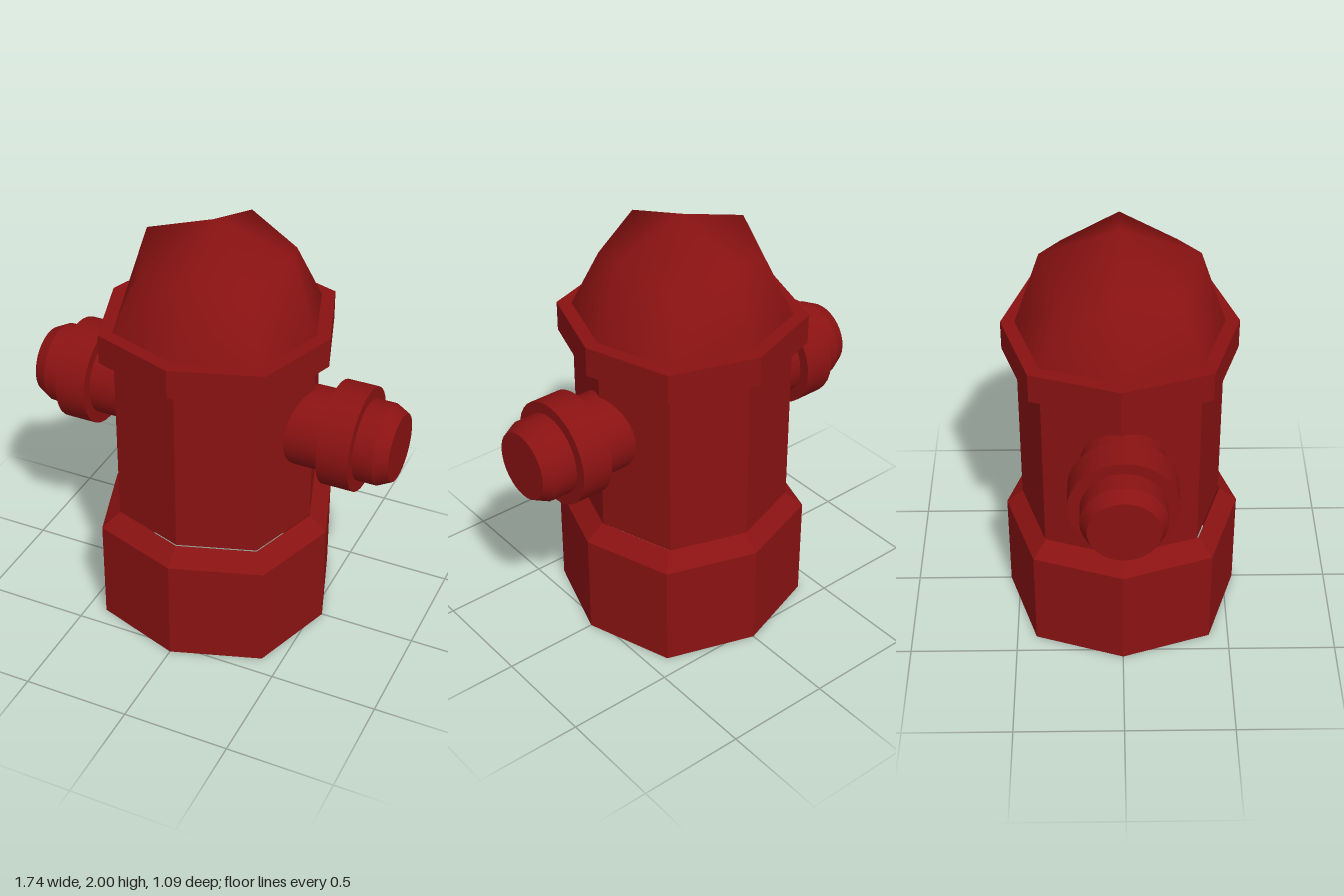
import * as THREE from 'three';

const red = { color: 0x8a1212 };
const flat = new THREE.MeshStandardMaterial({ ...red, flatShading: true, side: THREE.DoubleSide });
const smooth = new THREE.MeshStandardMaterial({ ...red, side: THREE.DoubleSide });

// Eight-cornered ring: four corners on the axes, four on the diagonals (diag, diag).
function ring(axis, y, diag = axis * 0.75, yDiag = y) {
  const points = [];
  for (let i = 0; i < 8; i++) {
    const a = (i * Math.PI) / 4;
    const odd = i % 2 === 1;
    const r = odd ? diag * Math.SQRT2 : axis;
    points.push(new THREE.Vector3(r * Math.cos(a), odd ? yDiag : y, r * Math.sin(a)));
  }
  return points;
}

// Skin a stack of rings from bottom to top, with an optional apex.
function loft(rings, apexY) {
  const points = rings.flat();
  const index = [];
  for (let k = 0; k < rings.length - 1; k++) {
    for (let i = 0; i < 8; i++) {
      const a = k * 8 + i, b = k * 8 + ((i + 1) % 8);
      index.push(b, a, a + 8, b, a + 8, b + 8);
    }
  }
  if (apexY !== undefined) {
    const last = (rings.length - 1) * 8;
    points.push(new THREE.Vector3(0, apexY, 0));
    for (let i = 0; i < 8; i++) index.push(last + ((i + 1) % 8), last + i, points.length - 1);
  }
  const geometry = new THREE.BufferGeometry().setFromPoints(points);
  geometry.setIndex(index);
  geometry.computeVertexNormals();
  return geometry;
}

function part(name, geometry, material, parent) {
  const mesh = new THREE.Mesh(geometry, material);
  mesh.name = name;
  parent.add(mesh);
  return mesh;
}

// Side outlet along +x, made of coaxial drums: [name, x0, x1, r0, r1].
function outlet(name) {
  const group = new THREE.Group();
  group.name = name;
  const drums = [
    ['outletPipe', 0.34, 0.57, 0.187, 0.187],
    ['outletCollar', 0.57, 0.718, 0.24, 0.24],
    ['outletNeck', 0.718, 0.81, 0.187, 0.187],
    ['outletTip', 0.81, 0.872, 0.187, 0.156],
  ];
  for (const [label, x0, x1, r0, r1] of drums) {
    const geometry = new THREE.CylinderGeometry(r1, r0, x1 - x0, 32);
    geometry.rotateZ(-Math.PI / 2);
    geometry.translate((x0 + x1) / 2, 0, 0);
    part(label, geometry, smooth, group);
  }
  group.position.y = 1.075;
  return group;
}

export function createModel() {
  const hydrant = new THREE.Group();
  hydrant.name = 'hydrant';

  // Hollow foot, open underneath, with a sloped shoulder
  part('base', loft([ring(0.546, 0), ring(0.546, 0.5), ring(0.463, 0.57)]), flat, hydrant);

  // Barrel and flange sit a hair off centre
  const upper = new THREE.Group();
  upper.name = 'upperBody';
  upper.position.set(-0.003, 0, -0.007);
  hydrant.add(upper);
  part('barrel', loft([ring(0.463, 0.57), ring(0.463, 1.397)]), flat, upper);
  part('flange', loft([
    ring(0.463, 1.397), ring(0.526, 1.397), ring(0.526, 1.537), ring(0.463, 1.537),
  ]), flat, upper);

  // Smooth-shaded dome with dropped diagonal corners
  const r = 0.463, y = 1.537;
  part('dome', loft([
    ring(r, y),
    ring(r * 0.75, y + r * 0.75, r * 0.556, y + r * 0.556),
  ], 2), smooth, upper);

  // Mirrored side outlets
  const left = outlet('leftOutlet');
  const right = outlet('rightOutlet');
  right.rotation.y = Math.PI;
  hydrant.add(left, right);

  return hydrant;
}
